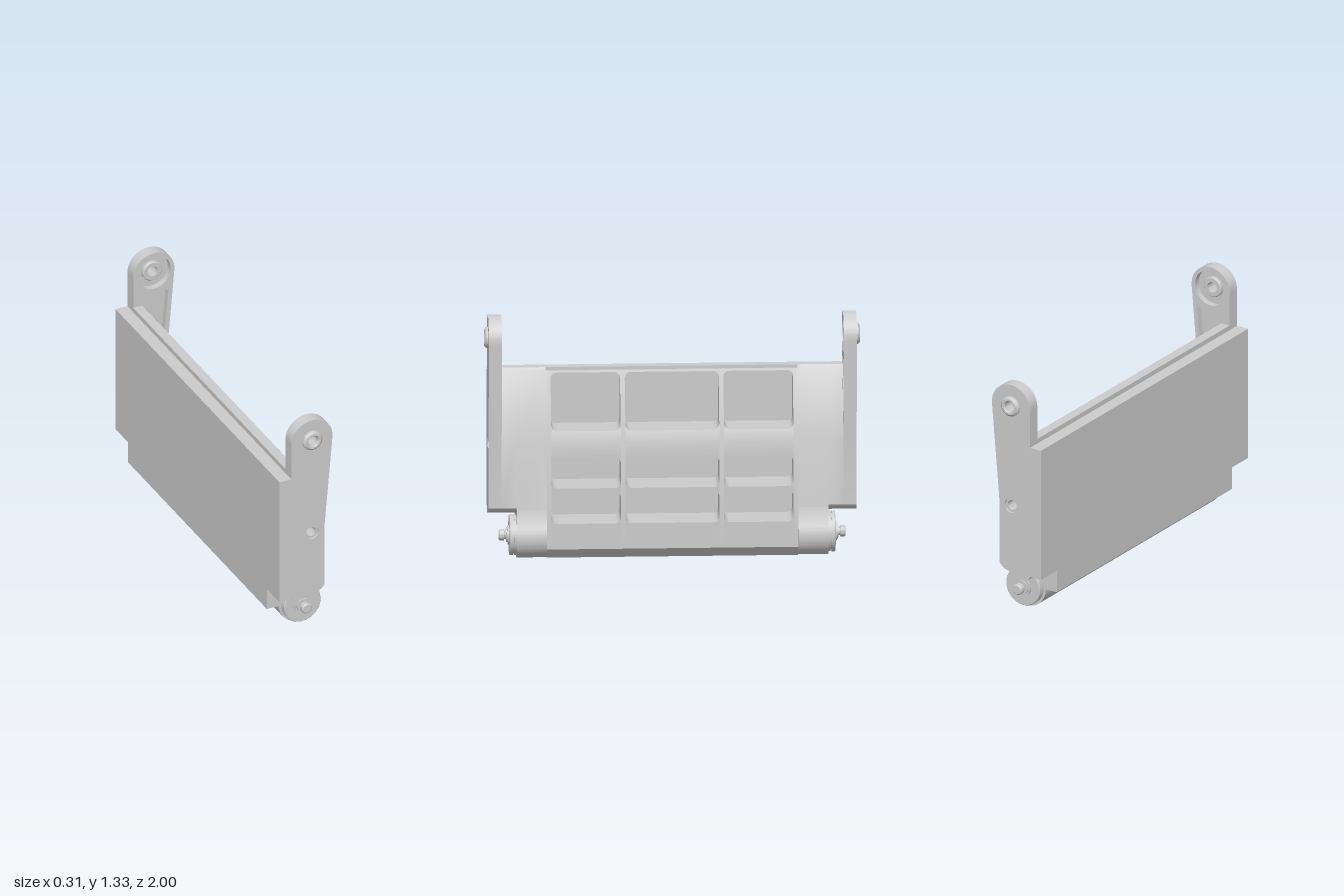
import * as THREE from 'three';
import { mergeGeometries, toCreasedNormals } from 'three/addons/utils/BufferGeometryUtils.js';

const material = new THREE.MeshStandardMaterial({ color: 0xcccccc });
const AXIS_X = 0.033, PIN_Y = 0.125, BORE_Y = 0.633, EYE_Y = 1.213, R = 0.122;
const FRONT = 0.107, FLOOR = -0.09, BACK = -0.16;
const ROWS = [[0.2, 0.37], [0.395, 0.56], [0.705, 1.0]];
const COLUMNS = [[-0.645, -0.275], [-0.25, 0.25], [0.275, 0.645]];

// x of the body's face at height y: upright below, sloping back above
const faceX = (y) => (y < 0.645 ? FRONT : FRONT - (y - 0.645) * 0.356);

function mesh(geometry, name) {
  const m = new THREE.Mesh(toCreasedNormals(geometry, 0.6), material);
  m.name = name;
  return m;
}

// Extrude an x-y shape between two z positions, in either order
function slab(shape, za, zb) {
  const g = new THREE.ExtrudeGeometry(shape, { depth: Math.abs(zb - za), bevelEnabled: false, curveSegments: 24 });
  return g.translate(0, 0, Math.min(za, zb));
}

// Lathe round a z axis; points are [radius, distance from centre]
function turned(points, y, side) {
  const g = new THREE.LatheGeometry(points.map((p) => new THREE.Vector2(...p)), 40);
  return g.rotateX((side * Math.PI) / 2).translate(AXIS_X, y, 0);
}

function addHole(shape, y, r) {
  const hole = new THREE.Path();
  hole.absarc(AXIS_X, y, r, 0, Math.PI * 2, true);
  shape.holes.push(hole);
}

// Underside of the end plates, curving over the roller
function plateUnderside(s) {
  s.moveTo(BACK, 0.25);
  s.lineTo(-0.09, 0.25);
  s.quadraticCurveTo(-0.08, 0.222, -0.06, 0.222);
  s.bezierCurveTo(-0.02, 0.24, 0.03, 0.248, 0.06, 0.255);
  s.quadraticCurveTo(0.09, 0.265, FRONT, 0.29);
}

// Cross-section of the body; kind is plain, pocket, barrel or end
function bodyShape(kind) {
  const s = new THREE.Shape();
  if (kind === 'end') {
    plateUnderside(s);
  } else {
    s.moveTo(BACK, PIN_Y);
    s.lineTo(AXIS_X - R, PIN_Y);
    if (kind === 'barrel') {
      s.absarc(AXIS_X, PIN_Y, R, Math.PI, Math.PI * 2 + 0.45, false);
      s.quadraticCurveTo(0.117, 0.233, FRONT, 0.29);
    } else {
      s.absarc(AXIS_X, PIN_Y, R, Math.PI, Math.PI * 1.5, false);
      s.lineTo(0.06, 0.003);
      s.lineTo(FRONT, 0.06);
    }
  }
  if (kind === 'pocket') {
    for (const [y0, y1] of ROWS) {
      s.lineTo(faceX(y0), y0);
      s.lineTo(FLOOR, y0);
      s.lineTo(FLOOR, y1);
      s.lineTo(faceX(y1), y1);
      if (y1 < 0.6 && y1 > 0.5) s.lineTo(FRONT, 0.645);
    }
  } else s.lineTo(FRONT, 0.645);
  s.lineTo(faceX(1.01), 1.01);
  if (kind === 'plain' || kind === 'pocket') s.lineTo(-0.036, 1.01);
  s.lineTo(-0.036, 1.027);
  s.lineTo(-0.09, 1.027);
  s.lineTo(-0.09, 1.0);
  s.lineTo(BACK, 1.0);
  s.closePath();
  addHole(s, BORE_Y, 0.028);
  return s;
}

// End plate with its raised arm and round eye
function armShape(boreRadius, eyeRadius) {
  const s = new THREE.Shape();
  plateUnderside(s);
  s.lineTo(FRONT, 0.65);
  s.lineTo(AXIS_X + R, 1.2);
  s.absarc(AXIS_X, EYE_Y, R, 0, Math.PI, false);
  s.lineTo(AXIS_X - R, 1.0);
  s.lineTo(BACK, 1.0);
  s.closePath();
  addHole(s, BORE_Y, boreRadius);
  addHole(s, EYE_Y, eyeRadius);
  return s;
}

// Concave filler that rounds one corner of a pocket
function cornerFillet(z, y, dz, dy) {
  const r = 0.03, s = new THREE.Shape();
  s.moveTo(0, 0);
  for (let i = 0; i <= 6; i++) {
    const a = (i / 6) * Math.PI / 2;
    s.lineTo(-dz * r * (1 - Math.sin(a)), dy * r * (1 - Math.cos(a)));
  }
  s.closePath();
  const g = new THREE.ExtrudeGeometry(s, { depth: 1, bevelEnabled: false });
  const p = g.attributes.position;
  for (let i = 0; i < p.count; i++) {
    const py = y + p.getY(i);
    p.setXYZ(i, FLOOR + p.getZ(i) * (faceX(py) - FLOOR), py, z - p.getX(i));
  }
  g.computeVertexNormals();
  return g;
}

export function createModel() {
  const model = new THREE.Group();
  model.name = 'hingedPanelFrame';

  // Body, sliced along z so that the pockets sit between solid ribs
  const slices = [
    ['end', -0.91, -0.83], ['barrel', -0.83, -0.67], ['plain', -0.67, -0.645],
    ['plain', -0.275, -0.25], ['plain', 0.25, 0.275],
    ['plain', 0.645, 0.67], ['barrel', 0.67, 0.83], ['end', 0.83, 0.91],
    ...COLUMNS.map((c) => ['pocket', ...c]),
  ];
  model.add(mesh(mergeGeometries(slices.map(([k, a, b]) => slab(bodyShape(k), a, b))), 'body'));

  // Rounded pocket corners
  const fillets = [];
  for (const [z0, z1] of COLUMNS) for (const [y0, y1] of ROWS) {
    for (const [z, dz] of [[z0, 1], [z1, -1]]) {
      for (const [y, dy] of [[y0, 1], [y1, -1]]) fillets.push(cornerFillet(z, y, dz, dy));
    }
  }
  model.add(mesh(mergeGeometries(fillets), 'pocketCorners'));

  for (const side of [1, -1]) {
    const end = new THREE.Group();
    end.name = side > 0 ? 'frontEnd' : 'rearEnd';

    // Arm: recessed inner layer, solid middle, counterbored outer skin
    const inner = armShape(0.028, 0.1);
    const recess = [[-0.03, 1.085], [0.12, 1.085], [0.095, 0.8], [0.08, 0.79]];
    inner.holes.push(new THREE.Path(recess.map((p) => new THREE.Vector2(...p))));
    end.add(mesh(mergeGeometries([
      slab(inner, side * 0.91, side * 0.945),
      slab(armShape(0.028, 0.03), side * 0.945, side * 0.968),
      slab(armShape(0.04, 0.03), side * 0.968, side * 0.98),
    ]), 'arm'));

    // Bushing through the eye
    end.add(mesh(turned([
      [0.03, 0.925], [0.052, 0.925], [0.057, 0.93], [0.057, 0.99],
      [0.045, 1.0], [0.035, 1.0], [0.03, 0.995], [0.03, 0.925],
    ], EYE_Y, side), 'eyeBushing'));

    // Washers and pin at the foot of the panel
    end.add(mesh(turned([
      [0, 0.825], [0.108, 0.825], [0.108, 0.842], [0.1, 0.842], [0.1, 0.848],
      [0.109, 0.848], [0.109, 0.864], [0.105, 0.868], [0.052, 0.868], [0.052, 0.876], [0, 0.876],
    ], PIN_Y, side), 'rollerWashers'));
    end.add(mesh(turned([
      [0.04, 0.87], [0.04, 0.884], [0.022, 0.884], [0.022, 0.893],
      [0.03, 0.896], [0.03, 0.918], [0.024, 0.924], [0, 0.924],
    ], PIN_Y, side), 'pin'));
    model.add(end);
  }
  return model;
}
